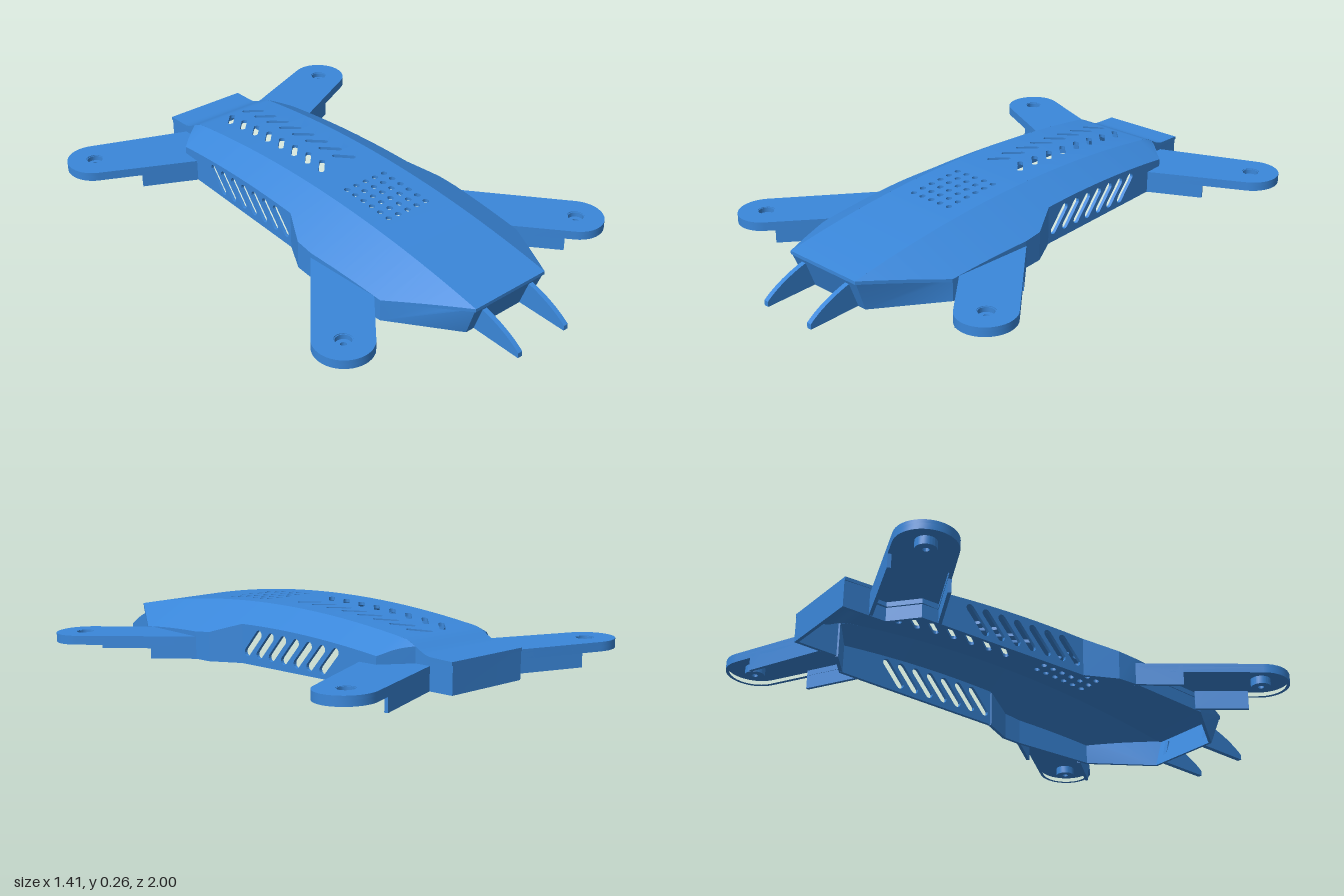
import * as THREE from 'three';
import { mergeGeometries, toCreasedNormals } from 'three/addons/utils/BufferGeometryUtils.js';

const T = 0.013;   // shell thickness
const HW = 0.175;  // half width of the top panel
const blue = new THREE.MeshStandardMaterial({ color: 0x3a87da });

// Half plan outline of the body, front to back: [x, z]
const outline = [[HW, 0.84], [0.35, 0.55], [0.37, 0.2], [0.365, 0.12], [0.3, 0],
  [0.28, -0.7], [HW, -0.78], [HW - 0.004, -0.947]];

// Height rules: sloping lower rim, arched top, falling shoulders
const base = z => 0.04 - 0.035 * z;
const topY = z => {
  const s = THREE.MathUtils.smoothstep(-z, 0.72, 0.85);
  return THREE.MathUtils.lerp(0.26 - 0.107 * (Math.max(z, -0.72) + 0.22) ** 2, 0.187, s);
};
const edgeY = (x, z) => topY(z) - 0.52 * Math.max(0, Math.abs(x) - HW);
const edgeX = z => {
  for (let i = 1; i < outline.length; i++) {
    const [x0, z0] = outline[i - 1], [x1, z1] = outline[i];
    if (z >= z1) return x0 + (x1 - x0) * (z - z0) / (z1 - z0);
  }
  return HW;
};

const V = (x, y) => new THREE.Vector2(x, y);

function bend(geo, rule) {
  const p = geo.attributes.position, v = new THREE.Vector3();
  for (let i = 0; i < p.count; i++) {
    rule(v.fromBufferAttribute(p, i));
    p.setXYZ(i, v.x, v.y, v.z);
  }
  return geo;
}

function addMesh(parent, name, geo, crease = 0.4) {
  const m = new THREE.Mesh(toCreasedNormals(geo, crease), blue);
  m.name = name;
  parent.add(m);
  return m;
}

function extrude(points, holes, depth) {
  const s = new THREE.Shape(points);
  s.holes = holes.map(h => new THREE.Path(h));
  return new THREE.ExtrudeGeometry(s, { depth, bevelEnabled: false });
}

// Capsule outline between two points; a circle when they coincide
function slot(x0, y0, x1, y1, r, n = 8) {
  const a = Math.atan2(y1 - y0, x1 - x0), pts = [];
  for (const [x, y, off] of [[x1, y1, -Math.PI / 2], [x0, y0, Math.PI / 2]])
    for (let i = 0; i < n; i++) {
      const t = a + off + Math.PI * i / (x0 === x1 && y0 === y1 ? n : n - 1);
      pts.push(V(x + r * Math.cos(t), y + r * Math.sin(t)));
    }
  return pts;
}

// Upright wall from a to b (plan points), thickened to the inner side
function wall(a, b, top, holes = []) {
  const dx = b[0] - a[0], dz = b[1] - a[1], L = Math.hypot(dx, dz);
  const at = u => [a[0] + dx * u / L, a[1] + dz * u / L];
  const pts = [V(0, base(a[1])), V(L, base(b[1]))], n = 14;
  for (let i = n; i >= 0; i--) pts.push(V(L * i / n, top(...at(L * i / n))));
  return bend(extrude(pts, holes, T), v => {
    const [x, z] = at(v.x), d = v.z - T;
    v.set(x - dz / L * d, v.y, z + dx / L * d);
  });
}

// Top panel in bent strips, each holding one row of openings
function topPanel() {
  const strips = [];
  const strip = (z0, z1, holes = []) => strips.push(bend(
    extrude([V(-HW, z0), V(HW, z0), V(HW, z1), V(-HW, z1)], holes, T),
    v => v.set(v.x, topY(v.y) - v.z, v.y)));
  const plain = (z0, z1, n) => {
    for (let i = 0; i < n; i++) strip(z0 + (z1 - z0) * i / n, z0 + (z1 - z0) * (i + 1) / n);
  };
  plain(-0.947, -0.86, 1);
  plain(-0.86, -0.723, 8);
  const p = 0.0826, q = 0.046;
  for (let i = 0; i < 8; i++) {
    const c = -0.6817 + i * p;
    strip(c - p / 2, c + p / 2, [-1, 1].map(s => slot(s * 0.033, c - 0.026, s * 0.081, c + 0.026, 0.011)));
  }
  plain(-0.0622, 0.064, 3);
  for (let i = 0; i < 6; i++) {
    const c = 0.087 + i * q;
    strip(c - q / 2, c + q / 2, [-2, -1, 0, 1, 2].map(k => slot(k * 0.047, c, k * 0.047, c, 0.012)));
  }
  plain(0.34, 0.84, 10);
  return mergeGeometries(strips);
}

// Sloping shoulder between the top panel and the side wall
function shoulder() {
  const zs = outline.slice(0, 7).map(p => p[1]);
  for (let i = 1; i < 40; i++) zs.push(0.84 - 1.62 * i / 40);
  zs.sort((a, b) => b - a);
  const pos = [], index = [];
  zs.forEach((z, i) => {
    const x = edgeX(z), y = topY(z), e = edgeY(x, z);
    pos.push(HW, y, z, x, e, z, x, e - T, z, HW, y - T, z);
    if (i) for (let k = 0; k < 4; k++) {
      const a = 4 * i - 4 + k, b = 4 * i - 4 + (k + 1) % 4;
      index.push(a, b, b + 4, a, b + 4, a + 4);
    }
  });
  const g = new THREE.BufferGeometry();
  g.setAttribute('position', new THREE.Float32BufferAttribute(pos, 3));
  g.setIndex(index);
  return g;
}

// Walls all round the body; the nose leans back towards its lower rim
function bodyWalls() {
  const loop = [...outline, ...outline.map(([x, z]) => [-x, z]).reverse()];
  const parts = loop.map((a, i) => {
    const b = loop[(i + 1) % loop.length], holes = [];
    if (Math.abs(a[1] - b[1]) > 0.6)
      for (let k = 0; k < 7; k++) {
        const u = z => Math.abs(z - a[1]), z = -0.03 - k * 0.068;
        holes.push(slot(u(z), 0.087, u(z - 0.065), 0.162, 0.016));
      }
    return wall(a, b, edgeY, holes);
  });
  return bend(mergeGeometries(parts), v => {
    const k = Math.max(0, (v.z - 0.55) / 0.29) * Math.max(0, (0.14 - v.y) / 0.13);
    v.z -= 0.05 * k;
    v.x *= 1 - 0.06 * k;
  });
}

// Arm: plate, rim, two deep webs near the body and a screw boss
function arm(name, cx, cz, root) {
  const R = 0.11, H = 0.087, group = new THREE.Group();
  group.name = name;
  const tangent = ([x, z], r, s) =>
    Math.atan2(z - cz, x - cx) + s * Math.acos(r / Math.hypot(x - cx, z - cz));
  const plan = inset => {
    const pts = root.map(p => [...p]), a = pts[0], b = pts[pts.length - 1], r = R - inset;
    if (inset) {
      const L = Math.hypot(b[0] - a[0], b[1] - a[1]);
      const d = [(b[0] - a[0]) * inset / L, (b[1] - a[1]) * inset / L];
      a[0] += d[0]; a[1] += d[1]; b[0] -= d[0]; b[1] -= d[1];
      pts.forEach(p => { p[0] += (cx - p[0]) * 0.02; p[1] += (cz - p[1]) * 0.02; });
    }
    // the arc runs round the outer end from the last root point to the first
    const t0 = tangent(b, r, -1), t1 = tangent(a, r, 1);
    const sweep = ((t1 - t0) % (2 * Math.PI) - 2 * Math.PI) % (2 * Math.PI);
    const out = pts.map(p => V(...p));
    for (let i = 0; i <= 24; i++) {
      const t = t0 + sweep * i / 24;
      out.push(V(cx + r * Math.cos(t), cz + r * Math.sin(t)));
    }
    return out;
  };
  const lay = (geo, drop) => bend(geo, v => v.set(v.x, base(v.y) + H - drop - v.z, v.y));
  addMesh(group, 'armPlate', lay(extrude(plan(0), [slot(cx, cz, cx, cz, 0.034, 12)], T), 0));
  addMesh(group, 'armRim', lay(extrude(plan(0), [plan(T)], 0.022), T));

  const pts = plan(0), first = root[0], last = root[root.length - 1];
  const webEnd = (p, q) => [0.485, p[1] + (q.y - p[1]) * (0.485 - p[0]) / (q.x - p[0])];
  const e0 = webEnd(first, pts[pts.length - 1]), e1 = webEnd(last, pts[root.length]);
  const under = (x, z) => base(z) + H - 0.006;
  addMesh(group, 'armWebs', mergeGeometries([wall(e0, first, under), wall(last, e1, under)]));

  const boss = new THREE.LatheGeometry([[0.012, -0.043], [0.038, -0.043], [0.038, -0.002], [0.03, -0.002],
    [0.03, -0.02], [0.012, -0.02], [0.012, -0.043]].map(p => V(...p)), 24);
  addMesh(group, 'screwBoss', boss).position.set(cx, base(cz) + H, cz);
  return group;
}

// Pointed fin at the nose
function fin() {
  const s = new THREE.Shape();
  s.moveTo(0.785, base(0.785));
  s.lineTo(1, 0);
  s.lineTo(1, 0.02);
  s.quadraticCurveTo(0.93, 0.08, 0.81, 0.115);
  return new THREE.ExtrudeGeometry(s, { depth: 0.02, bevelEnabled: false })
    .rotateY(-Math.PI / 2).translate(0.128, 0, 0);
}

export function createModel() {
  const model = new THREE.Group();
  model.name = 'droneShell';
  addMesh(model, 'topPanel', topPanel());
  addMesh(model, 'bodyWalls', bodyWalls());
  for (const side of [1, -1]) {
    const half = new THREE.Group();
    half.name = side > 0 ? 'leftHalf' : 'rightHalf';
    half.scale.x = side;
    addMesh(half, 'shoulder', shoulder());
    addMesh(half, 'noseFin', fin());
    half.add(arm('frontArm', 0.594, 0.634, [[0.368, 0.195], [0.351, 0.52]]));
    half.add(arm('rearArm', 0.594, -0.892, [[0.173, -0.846], [HW, -0.78], [0.28, -0.7], [0.283, -0.62]]));
    model.add(half);
  }
  return model;
}
